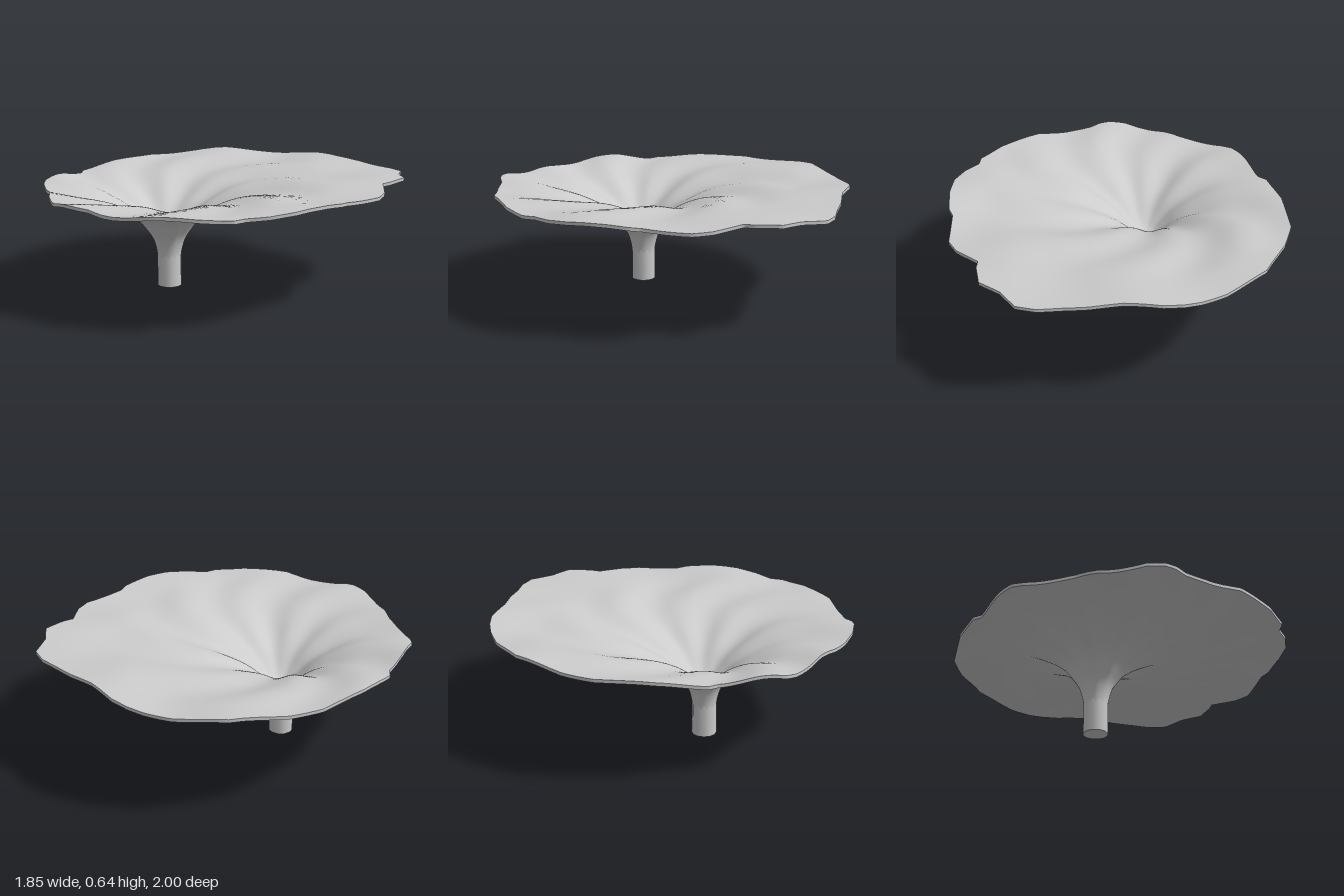
import * as THREE from 'three';

// Axis of the stem and funnel
const CX = -0.195, CZ = 0.185, STEM_R = 0.069;

// Irregular rim of the leaf as x, z pairs, clockwise from above
const RIM = [
  -0.11, -1, 0.08, -0.965, 0.25, -0.965, 0.38, -0.95, 0.5, -0.945, 0.6, -0.91, 0.67, -0.79,
  0.77, -0.705, 0.78, -0.57, 0.77, -0.51, 0.83, -0.44, 0.88, -0.38, 0.92, -0.28, 0.9, -0.03,
  0.92, 0.03, 0.915, 0.2, 0.89, 0.34, 0.83, 0.46, 0.75, 0.55, 0.735, 0.62, 0.61, 0.745,
  0.38, 0.89, 0.15, 0.945, 0.05, 0.955, -0.01, 0.985, -0.07, 0.995, -0.17, 0.98, -0.27, 0.935,
  -0.39, 0.87, -0.48, 0.795, -0.6, 0.73, -0.72, 0.66, -0.77, 0.61, -0.81, 0.49, -0.82, 0.46,
  -0.84, 0.38, -0.86, 0.28, -0.9, 0.23, -0.925, -0.03, -0.905, -0.33, -0.83, -0.5,
  -0.67, -0.755, -0.44, -0.905, -0.3, -0.965, -0.21, -0.99,
];

// Funnel heights as [radius, y]
const TOP = [[0, 0.29], [0.05, 0.305], [0.1, 0.345], [0.17, 0.408], [0.25, 0.46], [0.4, 0.527],
  [0.55, 0.565], [0.73, 0.593], [1.1, 0.615], [1.5, 0.625]];
const UNDER = [[0.066, 0.16], [0.07, 0.2], [0.09, 0.27], [0.13, 0.335], [0.17, 0.385], [0.25, 0.442],
  [0.4, 0.509], [0.55, 0.547], [0.73, 0.575], [1.1, 0.597], [1.5, 0.607]];

// Smooth interpolation through a height profile
function heightAt(profile, r) {
  const n = profile.length;
  let i = 0;
  while (i < n - 2 && r > profile[i + 1][0]) i++;
  const slope = (k) => {
    const a = profile[Math.max(k - 1, 0)], b = profile[Math.min(k + 1, n - 1)];
    return (b[1] - a[1]) / (b[0] - a[0]);
  };
  const [r0, y0] = profile[i], [r1, y1] = profile[i + 1];
  const w = r1 - r0, t = THREE.MathUtils.clamp((r - r0) / w, 0, 1);
  const t2 = t * t, t3 = t2 * t;
  return y0 * (2 * t3 - 3 * t2 + 1) + y1 * (3 * t2 - 2 * t3)
    + w * slope(i) * (t3 - 2 * t2 + t) + w * slope(i + 1) * (t3 - t2);
}

// Swirling folds that run out from the stem
function ripple(a, r) {
  const swirl = 0.75 * Math.min(r, 0.9) + 0.05 * Math.sin(r * 9);
  const fade = THREE.MathUtils.smoothstep(r, 0.02, 0.35);
  return fade * (0.011 * Math.sin(9 * (a - swirl) + 1)
    + 0.005 * Math.sin(5 * (a - swirl) + 2 + 2 * r) + 0.006 * Math.cos(a + 0.3) * Math.min(r, 1));
}

// Closed rings of points joined into one smooth skin
function skin(rings) {
  const cols = rings[0].length, index = [];
  for (let i = 0; i < rings.length - 1; i++) {
    for (let j = 0; j < cols; j++) {
      const a = i * cols + j, b = i * cols + (j + 1) % cols;
      index.push(a, b, a + cols, b, b + cols, a + cols);
    }
  }
  const geometry = new THREE.BufferGeometry();
  geometry.setAttribute('position', new THREE.Float32BufferAttribute(rings.flat(2), 3));
  geometry.setIndex(index);
  geometry.computeVertexNormals();
  return geometry;
}

export function createModel() {
  const group = new THREE.Group();
  const material = new THREE.MeshStandardMaterial({ color: 0xcccccc });
  const add = (name, geometry) => {
    const mesh = new THREE.Mesh(geometry, material);
    mesh.name = name;
    group.add(mesh);
    return mesh;
  };

  // Spokes from the axis to the subdivided rim
  const spokes = [], count = RIM.length / 2, STEPS = 4;
  for (let i = 0; i < count; i++) {
    const k = (i + 1) % count;
    for (let s = 0; s < STEPS; s++) {
      const x = THREE.MathUtils.lerp(RIM[2 * i], RIM[2 * k], s / STEPS) - CX;
      const z = THREE.MathUtils.lerp(RIM[2 * i + 1], RIM[2 * k + 1], s / STEPS) - CZ;
      spokes.push({ a: Math.atan2(z, x), R: Math.hypot(x, z) });
    }
  }

  const ring = (profile, inner, t) => spokes.map(({ a, R }) => {
    const r = inner + (R - inner) * t;
    return [CX + r * Math.cos(a), heightAt(profile, r) + ripple(a, r), CZ + r * Math.sin(a)];
  });
  const topRings = [], underRings = [], RINGS = 40;
  for (let i = 0; i <= RINGS; i++) {
    const t = (i / RINGS) ** 1.6;
    topRings.push(ring(TOP, 0, t));
    underRings.unshift(ring(UNDER, 0.066, t));
  }

  // Leaf: upper skin, lower skin and the thin edge between them
  add('leafTop', skin(topRings));
  add('leafUnderside', skin(underRings));
  add('leafEdge', skin([topRings[RINGS], underRings[0]]));

  // Stem
  const stem = add('stem', new THREE.CylinderGeometry(STEM_R, STEM_R, 0.2, 12));
  stem.position.set(CX, 0.1, CZ);

  return group;
}
